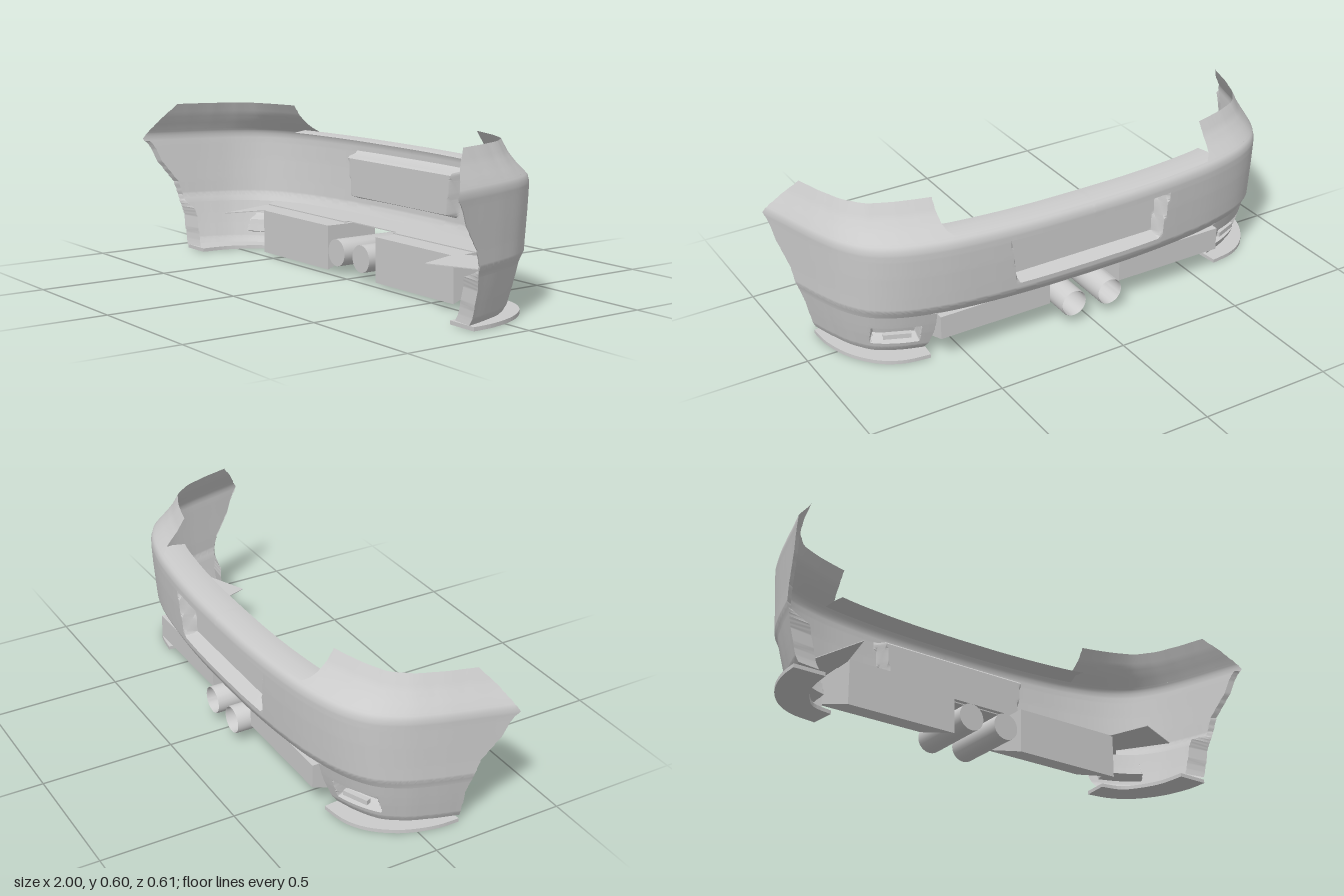
import * as THREE from 'three';
import { toCreasedNormals } from 'three/addons/utils/BufferGeometryUtils.js';

const material = new THREE.MeshStandardMaterial({ color: 0xcccccc, side: THREE.DoubleSide });
const { lerp, clamp } = THREE.MathUtils;

// Plan of the widest outline of one half, from the middle to the wheel arch tip
const planPoints = [
  [0, -0.305], [0.2, -0.302], [0.4, -0.288], [0.58, -0.262], [0.73, -0.215], [0.82, -0.155],
  [0.88, -0.07], [0.92, 0.03], [0.95, 0.13], [0.975, 0.22], [1, 0.305],
];
const plan = new THREE.CatmullRomCurve3(planPoints.map(([x, z]) => new THREE.Vector3(x, 0, z)));
const samples = plan.getSpacedPoints(400);

// Fraction along the plan where the given axis first reaches a value
function along(axis, value) {
  const i = samples.findIndex((p) => p[axis] >= value);
  return i < 0 ? 1 : i / 400;
}
const corner = along('x', 0.86);

// Point on the plan moved inwards, by different amounts at the back and the side
function planPoint(t, y, insetBack, insetSide) {
  const p = plan.getPointAt(t);
  const tan = plan.getTangentAt(t);
  const inset = lerp(insetSide, insetBack, Math.min(1, Math.abs(tan.x) * 1.05));
  return new THREE.Vector3(p.x - tan.z * inset, y, p.z + tan.x * inset);
}

// Surface from rows of points
function surface(rows) {
  const width = rows[0].length;
  const index = [];
  for (let r = 0; r < rows.length - 1; r++) {
    for (let c = 0; c < width - 1; c++) {
      const a = r * width + c, d = a + width;
      index.push(a, a + 1, d, a + 1, d + 1, d);
    }
  }
  const geo = new THREE.BufferGeometry().setFromPoints(rows.flat());
  geo.setIndex(index);
  return toCreasedNormals(geo, 0.5);
}

// Rows through levels of [y, insetBack, insetSide, startX, endZ]
function skinRows(levels, columns, step, shape, toEnd = true) {
  const rows = [];
  for (let i = 0; i < levels.length - 1; i++) {
    const n = Math.max(1, Math.round(Math.abs(levels[i + 1][0] - levels[i][0]) / step));
    for (let k = i ? 1 : 0; k <= n; k++) {
      const [y, back, side, x0, z1] = levels[i].map((v, j) => lerp(v, levels[i + 1][j], k / n));
      const t0 = along('x', x0);
      const t1 = toEnd ? along('z', z1) : along('x', z1);
      const row = [];
      for (let c = 0; c <= columns; c++) {
        const u = c / columns;
        let t = lerp(t0, t1, u);
        if (toEnd) t = u < 0.6 ? lerp(t0, corner, u / 0.6) : lerp(corner, t1, (u - 0.6) / 0.4);
        const p = planPoint(t, y, back, side);
        if (shape) shape(p);
        row.push(p);
      }
      rows.push(row);
    }
  }
  return rows;
}

// 0 outside a rectangle, rising to 1 within a narrow wall
function pocket(x, y, x0, x1, y0, y1, wall) {
  return clamp(Math.min(x - x0, x1 - x, y - y0, y1 - y) / wall, 0, 1);
}

function add(parent, geo, name) {
  const mesh = new THREE.Mesh(geo, material);
  mesh.name = name;
  parent.add(mesh);
  return mesh;
}

// Flat horizontal slab from [x, z] outline points
function slab(points, top, depth) {
  const shape = new THREE.Shape(points.map(([x, z]) => new THREE.Vector2(x, z)));
  const geo = new THREE.ExtrudeGeometry(shape, { depth, bevelEnabled: false });
  return geo.rotateX(Math.PI / 2).translate(0, top, 0);
}

function smooth(points, n) {
  return new THREE.SplineCurve(points.map(([x, z]) => new THREE.Vector2(x, z)))
    .getPoints(n).map((p) => [p.x, p.y]);
}

function buildHalf() {
  const half = new THREE.Group();

  // Main band with the plate recess
  const band = skinRows([
    [0.487, 0.018, 0.006, 0, 0.28], [0.475, 0.006, 0.002, 0, 0.29], [0.455, 0, 0, 0, 0.305],
    [0.43, 0, 0.002, 0, 0.28], [0.36, 0.004, 0.004, 0, 0.247], [0.275, 0.011, 0.006, 0, 0.185],
    [0.22, 0.016, 0.006, 0, 0.168], [0.195, 0.03, 0.012, 0, 0.163], [0.185, 0.036, 0.013, 0, 0.16],
  ], 150, 0.008, (p) => {
    const edge = 0.33 - (0.42 - p.y) * 0.15;
    p.z = lerp(p.z, -0.235, pocket(p.x, p.y, -1, edge, 0.245, 0.425, 0.012));
  });
  add(half, surface(band), 'bumperBand');

  // Raised quarter beside the boot opening
  const upper = skinRows([
    [0.6, 0.117, 0.052, 0.585, 0.18], [0.555, 0.088, 0.033, 0.58, 0.222], [0.525, 0.06, 0.02, 0.57, 0.25],
    [0.505, 0.038, 0.012, 0.555, 0.266], [0.487, 0.018, 0.006, 0.53, 0.28],
  ], 60, 0.01);
  add(half, surface(upper), 'upperQuarter');

  // Ledge under the boot lid
  const ledge = skinRows([
    [0.49, 0.115, 0.115, 0, 0.585], [0.497, 0.065, 0.065, 0, 0.575], [0.487, 0.018, 0.018, 0, 0.58],
  ], 40, 0.01, null, false);
  add(half, surface(ledge), 'bootLedge');

  // Lower corner with the lamp recess
  const lower = skinRows([
    [0.185, 0.036, 0.013, 0.6, 0.16], [0.14, 0.047, 0.022, 0.605, 0.148], [0.1, 0.058, 0.03, 0.61, 0.147],
    [0.04, 0.077, 0.042, 0.63, 0.145], [0.018, 0.092, 0.052, 0.645, 0.145],
  ], 90, 0.006, (p) => {
    const f = pocket(p.x, p.y, 0.645, 0.8, 0.058, 0.13, 0.01);
    p.x -= 0.02 * f;
    p.z += 0.055 * f;
  });
  add(half, surface(lower), 'lowerCorner');
  add(half, new THREE.BoxGeometry(0.1, 0.018, 0.02).rotateY(-0.4).translate(0.715, 0.09, -0.14), 'lampBar');

  // Folded edge and liner along the wheel arch
  const arch = [...band.filter((r) => r[0].y < 0.455), ...lower].map((row) => {
    const p = row[row.length - 1];
    const w = lerp(0.085, 0.02, clamp((p.y - 0.17) / 0.03, 0, 1));
    return [p, new THREE.Vector3(p.x - w, p.y, p.z - 0.012)];
  });
  add(half, surface(arch), 'archLiner');

  // Crescent splitter under the corner
  const outer = smooth([[0.905, 0.153], [0.9, 0.06], [0.865, -0.05], [0.8, -0.14], [0.72, -0.19], [0.62, -0.208]], 24);
  const inner = smooth([[0.61, -0.11], [0.69, -0.09], [0.74, -0.03], [0.775, 0.05], [0.785, 0.153]], 20);
  add(half, slab([...outer, ...inner], 0.014, 0.014), 'cornerSplitter');

  // Inner shelf along the bottom of the band
  add(half, slab([[0, -0.12], [0.15, -0.12], [0.15, -0.1], [0.68, -0.1], [0.74, -0.17], [0.6, -0.222],
    [0.4, -0.252], [0.2, -0.266], [0, -0.269]], 0.188, 0.004), 'innerShelf');

  // Silencer box with a sloping underside
  const profile = new THREE.Shape([[0.02, 0.01], [0.02, 0.18], [0.245, 0.18], [0.245, 0.09]]
    .map(([x, y]) => new THREE.Vector2(x, y)));
  const box = new THREE.ExtrudeGeometry(profile, { depth: 0.445, bevelEnabled: false });
  add(half, box.rotateY(Math.PI / 2).translate(0.15, 0, 0), 'silencerBox');
  return half;
}

export function createModel() {
  const model = new THREE.Group();
  for (const side of [1, -1]) {
    const half = buildHalf();
    half.name = side > 0 ? 'leftHalf' : 'rightHalf';
    half.scale.x = side;
    model.add(half);
  }

  // Twin tailpipes: outer wall, rolled lip, inner wall and closed front end
  for (const x of [-0.081, 0.073]) {
    const pipe = [[0, 0.01], [0.052, 0.01], [0.052, 0.282], [0.05, 0.287], [0.047, 0.282], [0.047, 0.03], [0, 0.03]];
    const geo = new THREE.LatheGeometry(pipe.map(([r, h]) => new THREE.Vector2(r, h)), 32);
    geo.rotateX(-Math.PI / 2).translate(x, 0.087, 0);
    add(model, toCreasedNormals(geo, 0.6), 'tailpipe');
  }

  // Loose bracket plates behind the corners
  add(model, slab([[0.57, -0.05], [0.635, 0.14], [0.82, 0.06], [0.7, -0.12]], 0.18, 0.003), 'leftBracket');
  add(model, slab([[-0.58, -0.1], [-0.635, 0.14], [-0.71, -0.11]], 0.18, 0.003), 'rightBracket');
  return model;
}
